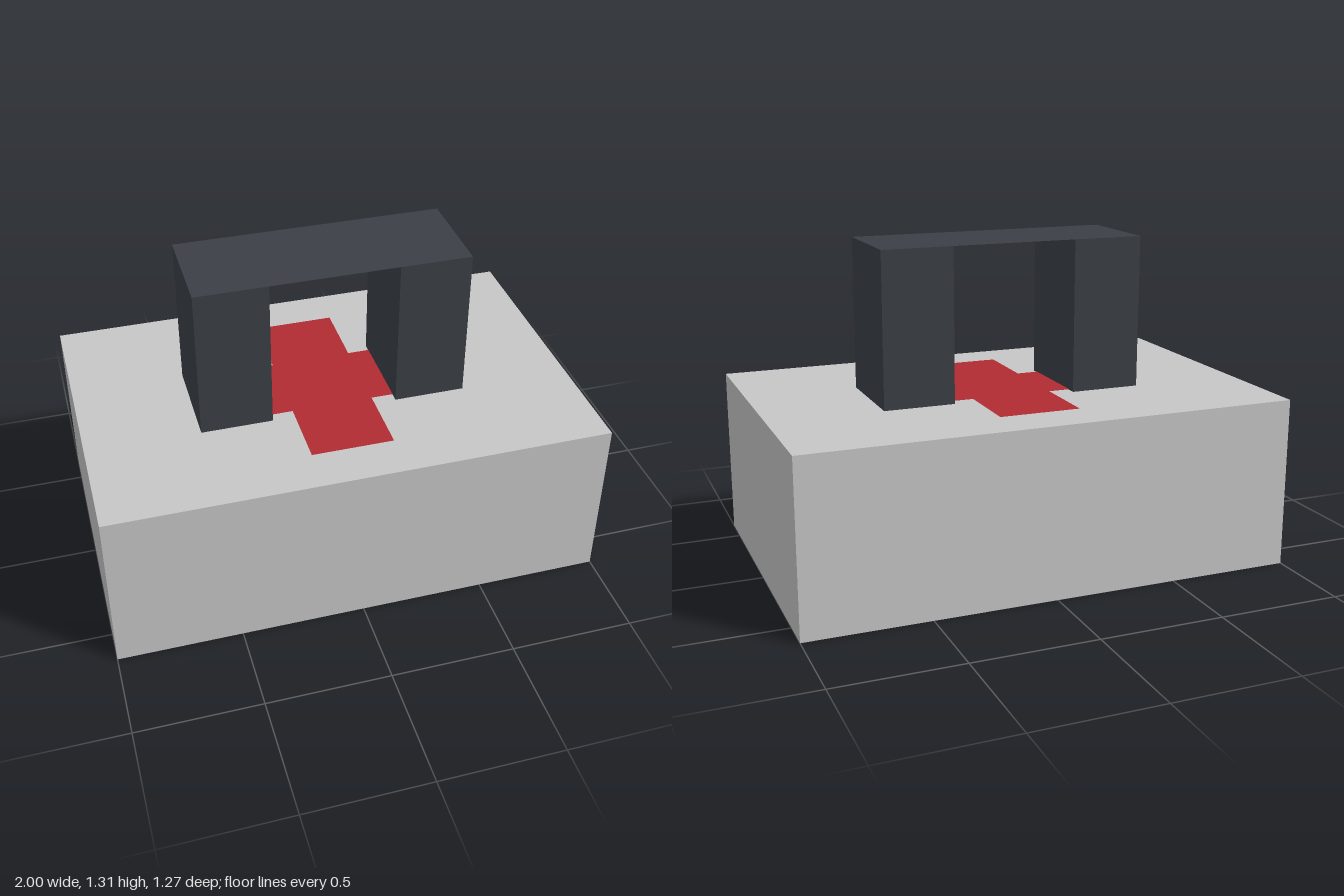
import * as THREE from 'three';

export function createModel() {
  const model = new THREE.Group();
  model.name = 'firstAidCase';

  const material = (name, color) => {
    const m = new THREE.MeshStandardMaterial({ color });
    m.name = name;
    return m;
  };
  const grey = material('caseGrey', 0xc6c6c7);
  const dark = material('handleDark', 0x3b4046);
  const red = material('crossRed', 0xb02b32);
  dark.side = THREE.DoubleSide;

  const add = (name, geometry, mat, x, y, z) => {
    const mesh = new THREE.Mesh(geometry, mat);
    mesh.name = name;
    mesh.position.set(x, y, z);
    model.add(mesh);
    return mesh;
  };

  // Case body
  const bodyH = 0.692;
  add('caseBody', new THREE.BoxGeometry(2, bodyH, 1.27), grey, 0, bodyH / 2, 0);

  // Handle: two posts joined by a paper-thin top
  const top = 1.312, inner = 0.255, outer = 0.543, depth = 0.4;
  for (const side of [-1, 1]) {
    add(side > 0 ? 'leftHandlePost' : 'rightHandlePost',
      new THREE.BoxGeometry(outer - inner, top - bodyH, depth), dark,
      side * (inner + outer) / 2, (top + bodyH) / 2, 0);
  }
  const bridge = new THREE.PlaneGeometry(inner * 2, depth).rotateX(-Math.PI / 2);
  add('handleTop', bridge, dark, 0, top, 0);

  // Flat cross on the lid
  const a = 0.165, b = 0.453;
  const cross = new THREE.Shape([
    [a, b], [-a, b], [-a, a], [-b, a], [-b, -a], [-a, -a],
    [-a, -b], [a, -b], [a, -a], [b, -a], [b, a], [a, a],
  ].map(([x, y]) => new THREE.Vector2(x, y)));
  add('lidCross', new THREE.ShapeGeometry(cross).rotateX(-Math.PI / 2), red, 0, bodyH + 0.003, 0);

  return model;
}
